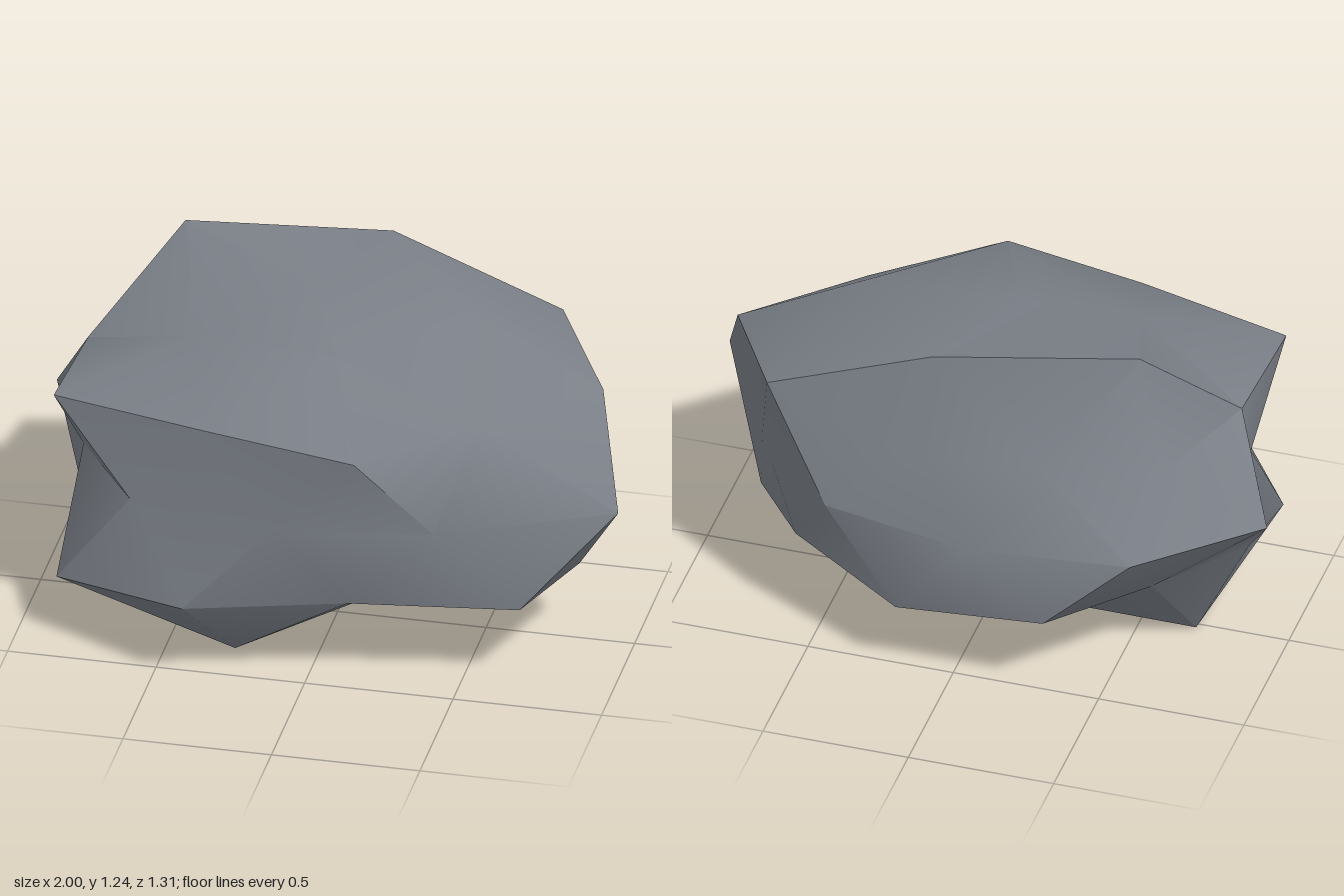
import * as THREE from 'three';
import { ConvexGeometry } from 'three/addons/geometries/ConvexGeometry.js';
import { toCreasedNormals } from 'three/addons/utils/BufferGeometryUtils.js';

const CENTRE = new THREE.Vector3(-.085, .62, -.02);
const SCALE = new THREE.Vector3(1, .636, .75);

// Rings of a once-divided icosahedron: [ring width, height, first angle in degrees, bulge of each corner]
const RINGS = [
  [0, 1, 0, [.92]],                                       // top
  [.526, .851, 0, [1.01, .98, .835, 1.155, 1.09]],        // crown
  [1, .5, 0, [.975, .9, .965, .73, .673]],                // shoulder
  [1, .618, 36, [.78, .79, .76, .673, .925]],
  [1, 0, 18, [1.14, .89, .825, .855, .773, .962, .935, .84, .87, .87]], // waist
  [1, -.5, 36, [.975, .95, .785, .84, .82]],              // hip
  [1, -.618, 0, [.895, .75, .955, .67, .815]],
  [.526, -.851, 36, [.76, 1.075, 1.145, .75, .825]],      // foot
  [0, -1, 0, [.825]],                                     // underside
];

// The hull of the directions gives the triangles, then each corner
// is pushed out or in by its bulge, so hollows are kept.
function boulderGeometry() {
  const dirs = [], corners = [];
  for (const [width, height, start, bulges] of RINGS) {
    bulges.forEach((bulge, i) => {
      const a = THREE.MathUtils.degToRad(start + i * 360 / bulges.length);
      const dir = new THREE.Vector3(width * Math.cos(a), height, width * Math.sin(a));
      corners.push(dir.clone().multiplyScalar(bulge).multiply(SCALE).add(CENTRE));
      dirs.push(dir.normalize());
    });
  }
  const geo = new ConvexGeometry(dirs);
  const pos = geo.attributes.position;
  const v = new THREE.Vector3();
  for (let i = 0; i < pos.count; i++) {
    v.fromBufferAttribute(pos, i);
    let best = 0;
    dirs.forEach((d, j) => { if (d.dot(v) > dirs[best].dot(v)) best = j; });
    pos.setXYZ(i, ...corners[best].toArray());
  }
  geo.computeVertexNormals();
  return toCreasedNormals(geo, .7);
}

export function createModel() {
  const group = new THREE.Group();
  group.name = 'boulder';
  const stone = new THREE.MeshStandardMaterial({ color: 0x7a7f87 });
  stone.name = 'stone grey';
  const rock = new THREE.Mesh(boulderGeometry(), stone);
  rock.name = 'rock';
  group.add(rock);
  return group;
}
